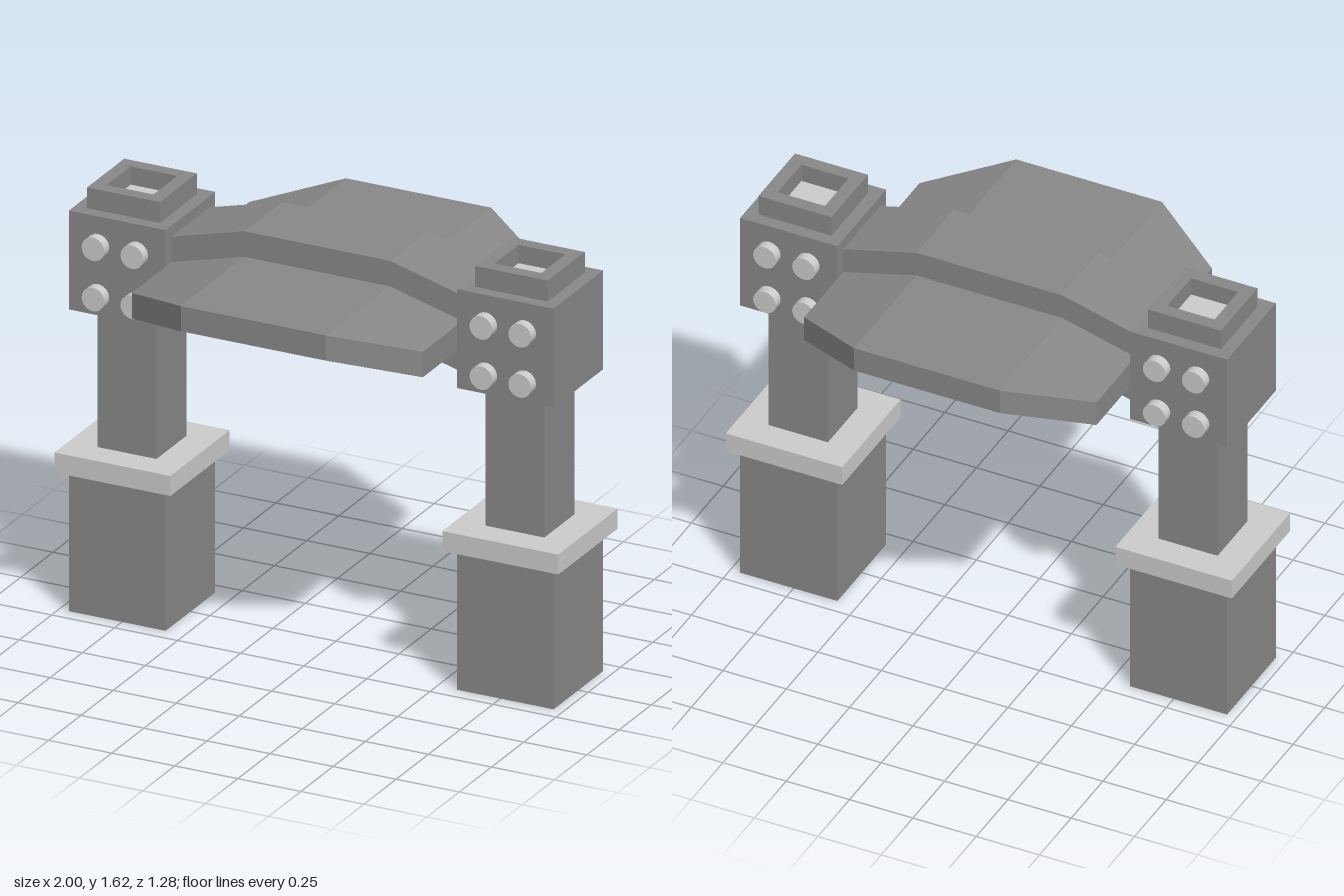
import * as THREE from 'three';

const dark = new THREE.MeshStandardMaterial({ color: 0x888888, flatShading: true });
const light = new THREE.MeshStandardMaterial({ color: 0xcccccc, flatShading: true });
const smoothLight = new THREE.MeshStandardMaterial({ color: 0xcccccc });

function add(parent, name, geometry, material, x = 0, y = 0, z = 0) {
  const mesh = new THREE.Mesh(geometry, material);
  mesh.name = name;
  mesh.position.set(x, y, z);
  parent.add(mesh);
  return mesh;
}

// Square block centred on the column axis, spanning y0 to y1
function block(parent, name, size, y0, y1, material) {
  return add(parent, name, new THREE.BoxGeometry(size, y1 - y0, size), material, 0, (y0 + y1) / 2, 0);
}

// Rectangular sections along x, each [x, bottom, top, halfDepth]
function slab(sections) {
  const pos = [], idx = [];
  for (const [x, b, t, d] of sections) pos.push(x, b, d, x, t, d, x, t, -d, x, b, -d);
  for (let s = 0; s < sections.length - 1; s++) {
    for (let k = 0; k < 4; k++) {
      const a = s * 4 + k, c = s * 4 + (k + 1) % 4;
      idx.push(a, a + 4, c, c, a + 4, c + 4);
    }
  }
  const e = (sections.length - 1) * 4;
  idx.push(0, 1, 2, 0, 2, 3, e, e + 2, e + 1, e, e + 3, e + 2);
  const g = new THREE.BufferGeometry();
  g.setAttribute('position', new THREE.Float32BufferAttribute(pos, 3));
  g.setIndex(idx);
  const flat = g.toNonIndexed();
  flat.computeVertexNormals();
  return flat;
}

function square(path, r) {
  path.moveTo(-r, -r);
  path.lineTo(r, -r);
  path.lineTo(r, r);
  path.lineTo(-r, r);
  path.closePath();
  return path;
}

function column() {
  const g = new THREE.Group();
  block(g, 'base', 0.384, 0, 0.54, dark);
  block(g, 'collar', 0.46, 0.54, 0.617, light);
  block(g, 'post', 0.234, 0.617, 1.16, dark);
  block(g, 'head', 0.384, 1.16, 1.54, dark);

  // Hollow square cap with a pale floor
  const rim = square(new THREE.Shape(), 0.144);
  rim.holes.push(square(new THREE.Path(), 0.093));
  const capGeo = new THREE.ExtrudeGeometry(rim, { depth: 0.08, bevelEnabled: false });
  capGeo.rotateX(-Math.PI / 2);
  add(g, 'capRim', capGeo, dark, 0, 1.54, 0);
  block(g, 'capFloor', 0.186, 1.535, 1.55, light);

  // Four bolts on the front and four on the back
  const boltGeo = new THREE.CylinderGeometry(0.045, 0.045, 0.04, 32).rotateX(Math.PI / 2);
  for (const z of [-0.21, 0.21])
    for (const x of [-0.077, 0.077])
      for (const y of [1.235, 1.428]) add(g, 'bolt', boltGeo, smoothLight, x, y, z);
  return g;
}

export function createModel() {
  const model = new THREE.Group();
  model.name = 'archway';

  for (const [name, side] of [['leftColumn', 1], ['rightColumn', -1]]) {
    const c = column();
    c.name = name;
    c.position.x = side * 0.769;
    model.add(c);
  }

  // Raised central beam and the wide thin deck passing through it
  add(model, 'archBeam', slab([
    [-0.577, 1.203, 1.498, 0.147], [-0.288, 1.28, 1.575, 0.147],
    [0.288, 1.28, 1.575, 0.147], [0.577, 1.203, 1.498, 0.147],
  ]), dark);
  add(model, 'archDeck', slab([
    [-0.577, 1.302, 1.4, 0.455], [-0.288, 1.38, 1.477, 0.64],
    [0.288, 1.38, 1.477, 0.64], [0.577, 1.302, 1.4, 0.455],
  ]), dark);
  return model;
}
